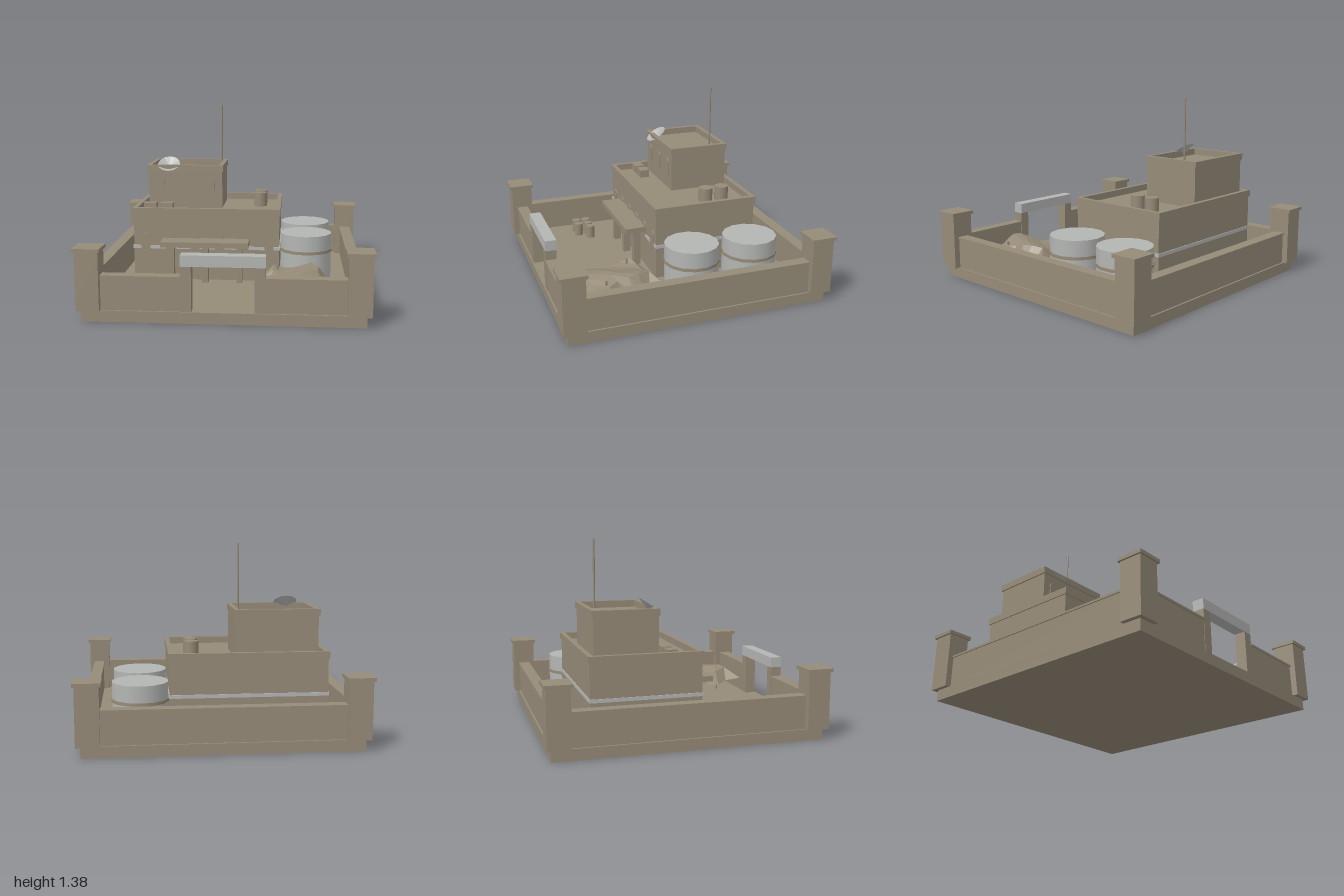
import * as THREE from 'three';

const adobe = new THREE.MeshStandardMaterial({ color: 0x968b78 });
adobe.name = 'adobe tan';
const pale = new THREE.MeshStandardMaterial({ color: 0xb4b6b4 });
pale.name = 'pale grey';
const dishGrey = new THREE.MeshStandardMaterial({ color: 0xb4b6b4, side: THREE.DoubleSide, flatShading: true });
dishGrey.name = 'dish grey';
const cloth = new THREE.MeshStandardMaterial({ color: 0x968b78, side: THREE.DoubleSide, flatShading: true });
cloth.name = 'cloth tan';

export function createModel() {
  const root = new THREE.Group();
  root.name = 'desertCompound';

  const add = (name, geo, mat, x = 0, y = 0, z = 0) => {
    const m = new THREE.Mesh(geo, mat);
    m.name = name;
    m.position.set(x, y, z);
    root.add(m);
    return m;
  };
  // box given by its bounds
  const box = (name, x0, x1, y0, y1, z0, z1, mat = adobe) =>
    add(name, new THREE.BoxGeometry(x1 - x0, y1 - y0, z1 - z0), mat, (x0 + x1) / 2, (y0 + y1) / 2, (z0 + z1) / 2);
  const drum = (name, x, z, r, y0, y1, sides, mat = adobe) =>
    add(name, new THREE.CylinderGeometry(r, r, y1 - y0, sides), mat, x, (y0 + y1) / 2, z);
  // rectangular rim with an open middle
  const rim = (name, x0, x1, z0, z1, t, y0, y1, mat = adobe) => {
    const rect = (P, a, b, c, d) => new P([[a, c], [b, c], [b, d], [a, d]].map(p => new THREE.Vector2(...p)));
    const s = rect(THREE.Shape, x0, x1, -z1, -z0);
    s.holes.push(rect(THREE.Path, x0 + t, x1 - t, -z1 + t, -z0 - t));
    const g = new THREE.ExtrudeGeometry(s, { depth: y1 - y0, bevelEnabled: false });
    g.rotateX(-Math.PI / 2);
    return add(name, g, adobe === mat ? adobe : mat, 0, y0, 0);
  };
  // round-topped window plate
  const arch = (name, x, y0, z) => {
    const s = new THREE.Shape();
    s.moveTo(-0.035, 0);
    s.lineTo(0.035, 0);
    s.lineTo(0.035, 0.105);
    s.absarc(0, 0.105, 0.035, 0, Math.PI, false);
    s.closePath();
    add(name, new THREE.ExtrudeGeometry(s, { depth: 0.009, bevelEnabled: false, curveSegments: 8 }), adobe, x, y0, z);
  };

  // ground slab
  box('base', -0.955, 0.955, 0, 0.08, -0.955, 0.955);

  // perimeter walls with copings
  const wall = (name, x0, x1, z0, z1) => {
    box(name, x0, x1, 0.08, 0.305, z0, z1);
    const alongX = x1 - x0 > z1 - z0, ex = alongX ? 0 : 0.008, ez = alongX ? 0.008 : 0;
    box(name + 'Coping', x0 - ex, x1 + ex, 0.305, 0.32, z0 - ez, z1 + ez);
  };
  wall('backWall', -0.83, 0.83, -0.942, -0.872);
  wall('rightWall', -0.942, -0.872, -0.83, 0.83);
  wall('leftWall', 0.872, 0.942, -0.83, 0.83);
  wall('frontWallRight', -0.83, -0.28, 0.872, 0.942);
  wall('frontWallLeft', 0.28, 0.83, 0.872, 0.942);

  // corner towers and gate posts
  for (const sx of [-1, 1]) {
    for (const sz of [-1, 1]) {
      const x = sx * 0.906, z = sz * 0.906;
      box('cornerTower', x - 0.08, x + 0.08, 0.08, 0.485, z - 0.08, z + 0.08);
      box('cornerTowerCap', x - 0.094, x + 0.094, 0.485, 0.51, z - 0.094, z + 0.094);
    }
    box('gatePost', sx * 0.248 - 0.037, sx * 0.248 + 0.037, 0.08, 0.39, 0.865, 0.945);
  }
  box('gateLintel', -0.285, 0.285, 0.39, 0.467, 0.86, 0.945, pale);

  // lower storey with parapet and painted band
  box('lowerStorey', -0.757, 0.357, 0.08, 0.585, -0.66, 0.13);
  rim('lowerParapet', -0.765, 0.365, -0.67, 0.138, 0.035, 0.585, 0.635);
  box('paintedBand', -0.763, 0.363, 0.32, 0.345, -0.666, 0.136, pale);
  for (let i = 0; i < 6; i++) arch('lowerWindow', -0.665 + i * 0.189, 0.302, 0.13);

  // upper storey with parapet
  box('upperStorey', -0.69, -0.103, 0.585, 0.88, -0.62, -0.165);
  rim('upperParapet', -0.7, -0.095, -0.63, -0.157, 0.034, 0.88, 0.93);
  for (let i = 0; i < 3; i++) arch('upperWindow', -0.597 + i * 0.198, 0.69, -0.165);

  // porch
  box('porchRoof', -0.53, 0.13, 0.365, 0.405, 0.13, 0.293);
  for (const x of [-0.46, -0.2, 0.06]) box('porchPost', x - 0.023, x + 0.023, 0.08, 0.365, 0.16, 0.215);

  // rooftop fittings
  for (const x of [-0.66, -0.53]) box('roofBox', x - 0.049, x + 0.049, 0.585, 0.645, -0.107, -0.033);
  for (const z of [-0.46, -0.33]) drum('roofDrum', 0.195, z, 0.052, 0.585, 0.693, 14);
  drum('mast', -0.135, -0.495, 0.008, 0.88, 1.385, 6);

  // shallow dish tipped up toward the front, apex behind
  const dish = new THREE.ConeGeometry(0.088, 0.035, 12, 1, true);
  dish.rotateX(Math.PI);
  dish.translate(0, -0.0175, 0);
  add('dish', dish, dishGrey, -0.53, 0.938, -0.185).rotation.x = 0.6;

  // water tanks with straps
  for (const z of [-0.53, -0.07]) {
    drum('waterTank', 0.56, z, 0.2, 0.08, 0.425, 14, pale);
    drum('tankStrap', 0.56, z, 0.205, 0.285, 0.308, 14);
  }

  // small barrels in the yard
  for (const [x, z] of [[-0.73, 0.39], [-0.65, 0.39], [-0.57, 0.39], [-0.73, 0.47], [-0.65, 0.47]])
    drum('barrel', x, z, 0.035, 0.08, 0.18, 12);

  // crumpled canopy on four poles
  const net = new THREE.PlaneGeometry(0.44, 0.6, 6, 7);
  net.rotateX(-Math.PI / 2);
  const p = net.attributes.position;
  for (let i = 0; i < p.count; i++) {
    const c = i % 7, r = Math.floor(i / 7);
    const a = Math.sin(i * 12.9), b = Math.sin(i * 7.3 + 1);
    const edge = c === 0 || c === 6 || r === 0 || r === 7;
    p.setXYZ(i, p.getX(i) + a * (edge ? 0.03 : 0.012), (edge ? 0.17 : 0.25) + b * 0.025,
      p.getZ(i) + b * (edge ? 0.03 : 0.012));
  }
  net.computeVertexNormals();
  add('canopy', net, cloth, 0.5, 0, 0.5).rotation.y = 0.2;
  for (const [x, z] of [[0.35, 0.36], [0.585, 0.32], [0.42, 0.68], [0.65, 0.6]])
    drum('canopyPole', x, z, 0.008, 0.08, 0.27, 6);

  return root;
}
